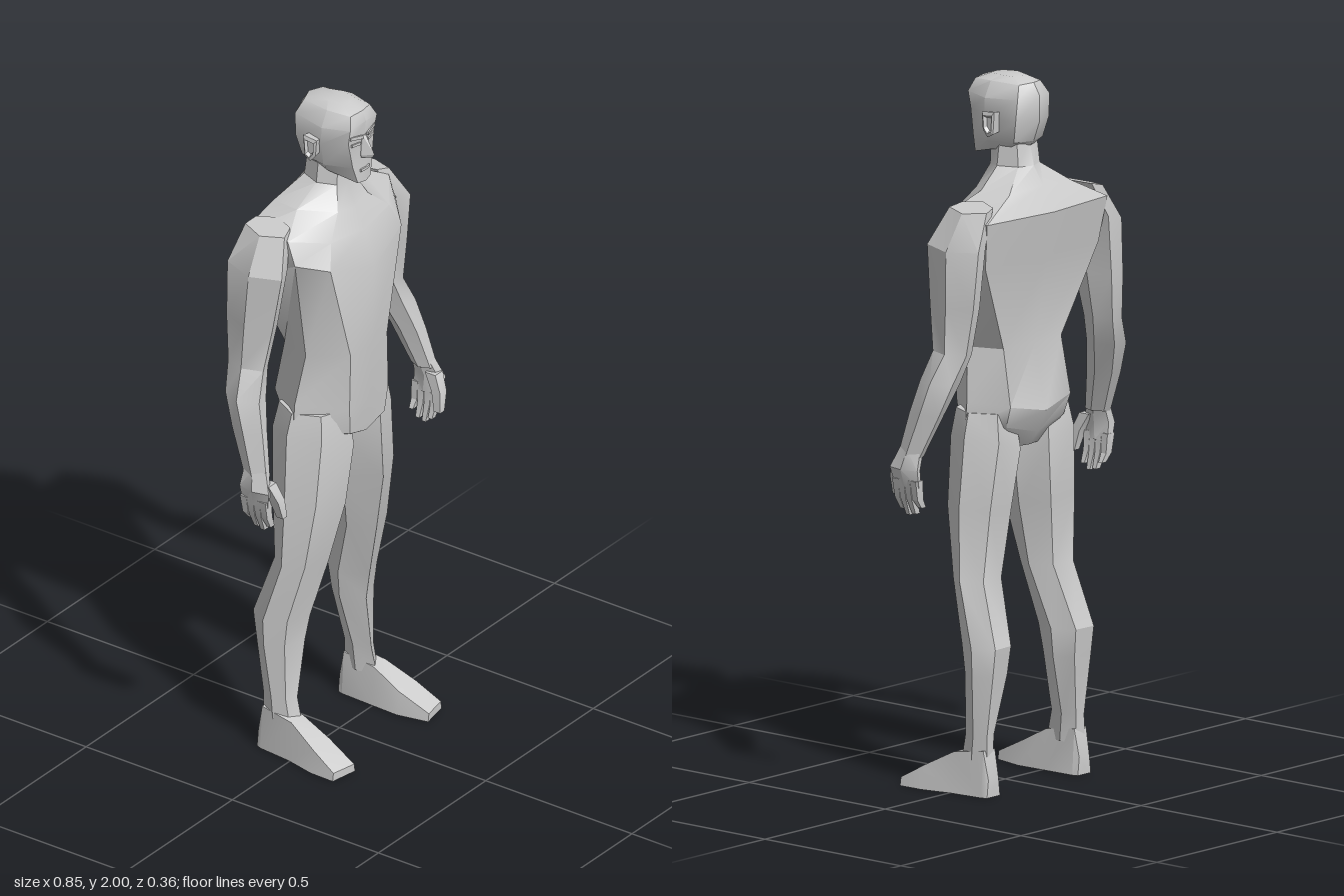
import * as THREE from 'three';
import { toCreasedNormals } from 'three/addons/utils/BufferGeometryUtils.js';

const skin = new THREE.MeshStandardMaterial({ color: 0xcccccc });
skin.name = 'plain grey';

// Skin a list of closed rings of [x, y, z], cap both ends, face outward.
function loft(rings, crease = 0.5) {
  const tris = [], n = rings[0].length;
  for (let i = 0; i + 1 < rings.length; i++) {
    for (let j = 0; j < n; j++) {
      const k = (j + 1) % n;
      const [a, b, c, d] = [rings[i][j], rings[i][k], rings[i + 1][k], rings[i + 1][j]];
      tris.push([a, b, c], [a, c, d]);
    }
  }
  const cap = (ring, flip) => {
    const mid = [0, 1, 2].map((q) => ring.reduce((s, p) => s + p[q], 0) / n);
    ring.forEach((p, j) => {
      const next = ring[(j + 1) % n];
      tris.push(flip ? [mid, next, p] : [mid, p, next]);
    });
  };
  cap(rings[0], true);
  cap(rings[rings.length - 1], false);
  let volume = 0;
  for (const [a, b, c] of tris) {
    volume += a[0] * (b[1] * c[2] - b[2] * c[1]) + a[1] * (b[2] * c[0] - b[0] * c[2]) + a[2] * (b[0] * c[1] - b[1] * c[0]);
  }
  if (volume < 0) tris.forEach((t) => t.reverse());
  const geometry = new THREE.BufferGeometry();
  geometry.setAttribute('position', new THREE.Float32BufferAttribute(tris.flat(2), 3));
  return toCreasedNormals(geometry, crease);
}

// Complete a ring given from front centre round the left side to back centre.
const mirrorRing = (half) => [...half, ...half.slice(1, -1).reverse().map(([x, y, z]) => [-x, y, z])];

// Limb ring: a unit outline stretched between x0..x1 and z0 (back)..z1 (front).
const limbRing = (outline, [y, x0, x1, z1, z0, tilt = 0]) =>
  outline.map(([u, v]) => [x0 + u * (x1 - x0), y + tilt * (u - 0.5), z0 + v * (z1 - z0)]);

export function createModel() {
  const model = new THREE.Group();
  model.name = 'standing figure';
  const add = (name, rings, crease) => {
    const mesh = new THREE.Mesh(loft(rings, crease), skin);
    mesh.name = name;
    model.add(mesh);
  };
  const pair = (name, rings, crease) => {
    for (const side of [1, -1]) {
      add((side > 0 ? 'left ' : 'right ') + name, rings.map((r) => r.map(([x, y, z]) => [side * x, y, z])), crease);
    }
  };

  // Torso and neck, from the crotch up
  add('torso', [
    [[0, 0.945, 0], [0.04, 0.95, 0.03], [0.09, 0.95, -0.03], [0.05, 0.96, -0.08], [0, 0.96, -0.09]],
    [[0, 0.975, 0.09], [0.08, 1.0, 0.095], [0.19, 1.02, -0.02], [0.12, 1.03, -0.11], [0, 1.0, -0.12]],
    [[0, 1.08, 0.102], [0.09, 1.08, 0.1], [0.182, 1.1, -0.02], [0.125, 1.09, -0.13], [0, 1.065, -0.15]],
    [[0, 1.25, 0.11], [0.085, 1.25, 0.1], [0.158, 1.25, 0], [0.12, 1.25, -0.1], [0, 1.25, -0.11]],
    [[0, 1.5, 0.118], [0.165, 1.55, 0.09], [0.235, 1.575, 0.02], [0.235, 1.5, -0.135], [0, 1.5, -0.155]],
    [[0, 1.61, 0.085], [0.135, 1.62, 0.07], [0.235, 1.645, -0.005], [0.25, 1.63, -0.155], [0, 1.63, -0.18]],
    [[0, 1.67, 0.055], [0.07, 1.68, 0.045], [0.145, 1.695, -0.04], [0.13, 1.69, -0.13], [0, 1.7, -0.14]],
    [[0, 1.74, 0.028], [0.04, 1.745, 0.02], [0.068, 1.75, -0.03], [0.045, 1.75, -0.088], [0, 1.75, -0.105]],
    [[0, 1.82, 0.025], [0.035, 1.82, 0.02], [0.058, 1.82, -0.03], [0.042, 1.82, -0.08], [0, 1.82, -0.09]],
  ].map(mirrorRing), 0.55);

  // Head, from chin to crown
  add('head', [
    [[0, 1.765, 0.09], [0.03, 1.768, 0.084], [0.052, 1.79, 0], [0.045, 1.8, -0.06], [0, 1.8, -0.088]],
    [[0, 1.82, 0.088], [0.045, 1.82, 0.078], [0.076, 1.82, 0], [0.06, 1.82, -0.085], [0, 1.82, -0.105]],
    [[0, 1.9, 0.084], [0.06, 1.9, 0.074], [0.087, 1.89, 0], [0.07, 1.88, -0.1], [0, 1.88, -0.127]],
    [[0, 1.955, 0.09], [0.062, 1.945, 0.082], [0.085, 1.94, 0], [0.066, 1.945, -0.104], [0, 1.95, -0.127]],
    [[0, 1.983, 0.078], [0.045, 1.98, 0.07], [0.06, 1.985, 0], [0.045, 1.982, -0.09], [0, 1.985, -0.105]],
    [[0, 1.998, 0.035], [0.025, 1.997, 0.03], [0.035, 1.999, -0.015], [0.025, 1.997, -0.055], [0, 1.998, -0.065]],
  ].map(mirrorRing), 0.6);

  // Face: nose, brows, closed eyes, lips and ears
  add('nose', [
    [[0, 1.91, 0.09], [0.008, 1.91, 0.084], [0.008, 1.91, 0.07], [0, 1.91, 0.07]],
    [[0, 1.857, 0.119], [0.016, 1.85, 0.088], [0.016, 1.85, 0.07], [0, 1.85, 0.07]],
    [[0, 1.845, 0.112], [0.014, 1.843, 0.087], [0.014, 1.843, 0.07], [0, 1.843, 0.07]],
  ].map(mirrorRing), 0.3);
  const slab = (x0, x1, y, rise, h, z, zOut) => [[x0, y, z], [x1, y + rise, zOut]].map(([x, cy, cz]) =>
    [[x, cy - h, cz], [x, cy + h, cz], [x, cy + h, cz - 0.02], [x, cy - h, cz - 0.02]]);
  pair('brow', slab(0.012, 0.056, 1.908, 0.008, 0.005, 0.09, 0.08), 0.3);
  pair('eye', slab(0.018, 0.05, 1.889, 0.002, 0.004, 0.086, 0.08), 0.3);
  pair('lip', slab(0, 0.02, 1.806, -0.002, 0.004, 0.093, 0.089), 0.3);
  const earRing = (x, grow) => [[1.835, -0.025], [1.855, -0.008], [1.905, -0.004], [1.91, -0.05], [1.845, -0.045]]
    .map(([y, z]) => [x, 1.872 + (y - 1.872) * grow, -0.03 + (z + 0.03) * grow]);
  pair('ear', [earRing(0.07, 0.85), earRing(0.102, 1), earRing(0.106, 0.7), earRing(0.096, 0.5)], 0.3);

  // Arms: shoulder, upper arm, elbow, forearm, wrist
  const armOutline = [[0.25, 0.92], [0.72, 1], [1, 0.5], [0.7, 0], [0.28, 0.06], [0, 0.5]];
  pair('arm', [
    [1.665, 0.18, 0.268, -0.01, -0.145, -0.02],
    [1.565, 0.228, 0.328, 0.022, -0.165, -0.02],
    [1.4, 0.25, 0.338, 0.0, -0.158],
    [1.27, 0.272, 0.347, -0.022, -0.143],
    [1.19, 0.295, 0.391, -0.008, -0.125],
    [1.1, 0.33, 0.4, 0.016, -0.09],
    [0.98, 0.36, 0.413, 0.042, -0.036],
  ].map((r) => limbRing(armOutline, r)), 0.45);

  // Hands: palm, four fingers and thumb
  pair('palm', [
    [1.0, 0.363, 0.408, 0.038, -0.036],
    [0.945, 0.38, 0.425, 0.06, -0.04],
    [0.895, 0.378, 0.412, 0.05, -0.038],
  ].map((r) => limbRing(armOutline, r)), 0.5);
  const square = [[0, 0], [1, 0], [1, 1], [0, 1]];
  [[0.039, 0.825], [0.018, 0.81], [-0.004, 0.815], [-0.026, 0.835]].forEach(([z, tip], i) => {
    pair('finger ' + (i + 1), [
      [0.915, 0.384, 0.414, z + 0.011, z - 0.011],
      [0.86, 0.38, 0.404, z + 0.01, z - 0.009],
      [tip, 0.366, 0.384, z + 0.007, z - 0.006],
    ].map((r) => limbRing(square, r)), 0.4);
  });
  pair('thumb', [
    [0.965, 0.37, 0.405, 0.055, 0.02],
    [0.915, 0.362, 0.392, 0.078, 0.048],
    [0.86, 0.356, 0.376, 0.082, 0.06],
  ].map((r) => limbRing(square, r)), 0.4);

  // Legs: hip, thigh, knee, calf, ankle
  const legOutline = [[0.27, 1], [0.78, 0.82], [1, 0.4], [0.75, 0], [0.25, 0.03], [0, 0.45]];
  pair('leg', [
    [1.07, 0.03, 0.185, 0.08, -0.1],
    [0.975, 0.01, 0.205, 0.095, -0.115, 0.06],
    [0.79, 0.038, 0.222, 0.085, -0.1, 0.03],
    [0.6, 0.068, 0.227, 0.045, -0.085],
    [0.42, 0.1, 0.24, 0.0, -0.145],
    [0.34, 0.108, 0.236, -0.014, -0.135],
    [0.17, 0.155, 0.218, -0.018, -0.112],
    [0.09, 0.157, 0.218, -0.0, -0.112],
  ].map((r) => limbRing(legOutline, r)), 0.4);

  // Feet: slices from heel to toe, each x0, x1, top width inset, top y, z
  pair('foot', [
    [0.162, 0.216, 0.006, 0.05, -0.124, 0],
    [0.157, 0.222, 0.008, 0.13, -0.108, 0],
    [0.153, 0.232, 0.012, 0.115, -0.004, 0],
    [0.15, 0.252, 0.012, 0.068, 0.085, 0],
    [0.17, 0.254, 0.004, 0.024, 0.17, 0.015],
  ].map(([x0, x1, inset, top, z, skew]) => [
    [x0, 0, z + skew / 2], [x1, 0, z - skew / 2],
    [x1 - inset, top, z - skew / 2], [x0 + inset, top, z + skew / 2],
  ]), 0.4);

  return model;
}
